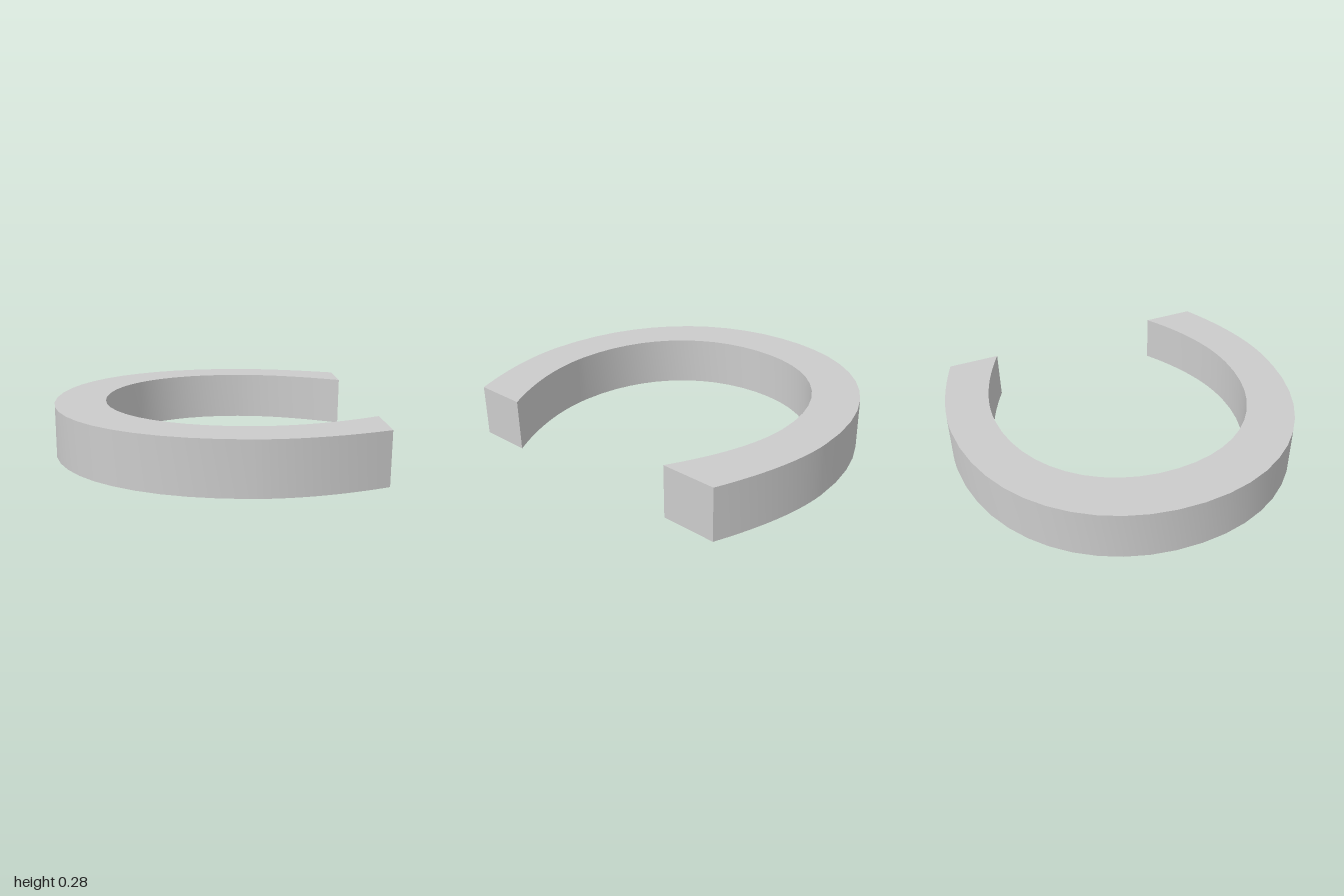
import * as THREE from 'three';
import { toCreasedNormals } from 'three/addons/utils/BufferGeometryUtils.js';

// Quarter-oval arc between two extreme points; startsFlat tells whether it leaves along x
function quarter(shape, x0, y0, x1, y1, startsFlat) {
  const k = 0.59, dx = (x1 - x0) * k, dy = (y1 - y0) * k;
  if (startsFlat) shape.bezierCurveTo(x0 + dx, y0, x1, y1 - dy, x1, y1);
  else shape.bezierCurveTo(x0, y0 + dy, x1 - dx, y1, x1, y1);
}

export function createModel() {
  const group = new THREE.Group();
  group.name = 'openRing';

  // Plan outline, drawn with the back (-z) as up
  const s = new THREE.Shape();
  s.moveTo(0.855, 0.845);
  // outer edge
  s.quadraticCurveTo(0.48, 1, 0.2, 1);
  quarter(s, 0.2, 1, -0.877, -0.01, true);
  quarter(s, -0.877, -0.01, 0.2, -0.997, false);
  s.quadraticCurveTo(0.5, -0.997, 0.875, -0.825);
  // front end and inner edge
  s.lineTo(0.875, -0.52);
  s.quadraticCurveTo(0.52, -0.74, 0.2, -0.74);
  quarter(s, 0.2, -0.74, -0.592, 0, true);
  quarter(s, -0.592, 0, 0.2, 0.75, false);
  s.quadraticCurveTo(0.49, 0.75, 0.855, 0.545);
  s.closePath();

  // Thick slab with smooth walls and sharp rims
  const geometry = new THREE.ExtrudeGeometry(s, { depth: 0.285, bevelEnabled: false, curveSegments: 12 });
  geometry.rotateX(-Math.PI / 2);
  const ring = new THREE.Mesh(
    toCreasedNormals(geometry, 0.6),
    new THREE.MeshStandardMaterial({ color: 0xcccccc })
  );
  ring.name = 'ringBody';
  group.add(ring);
  return group;
}
